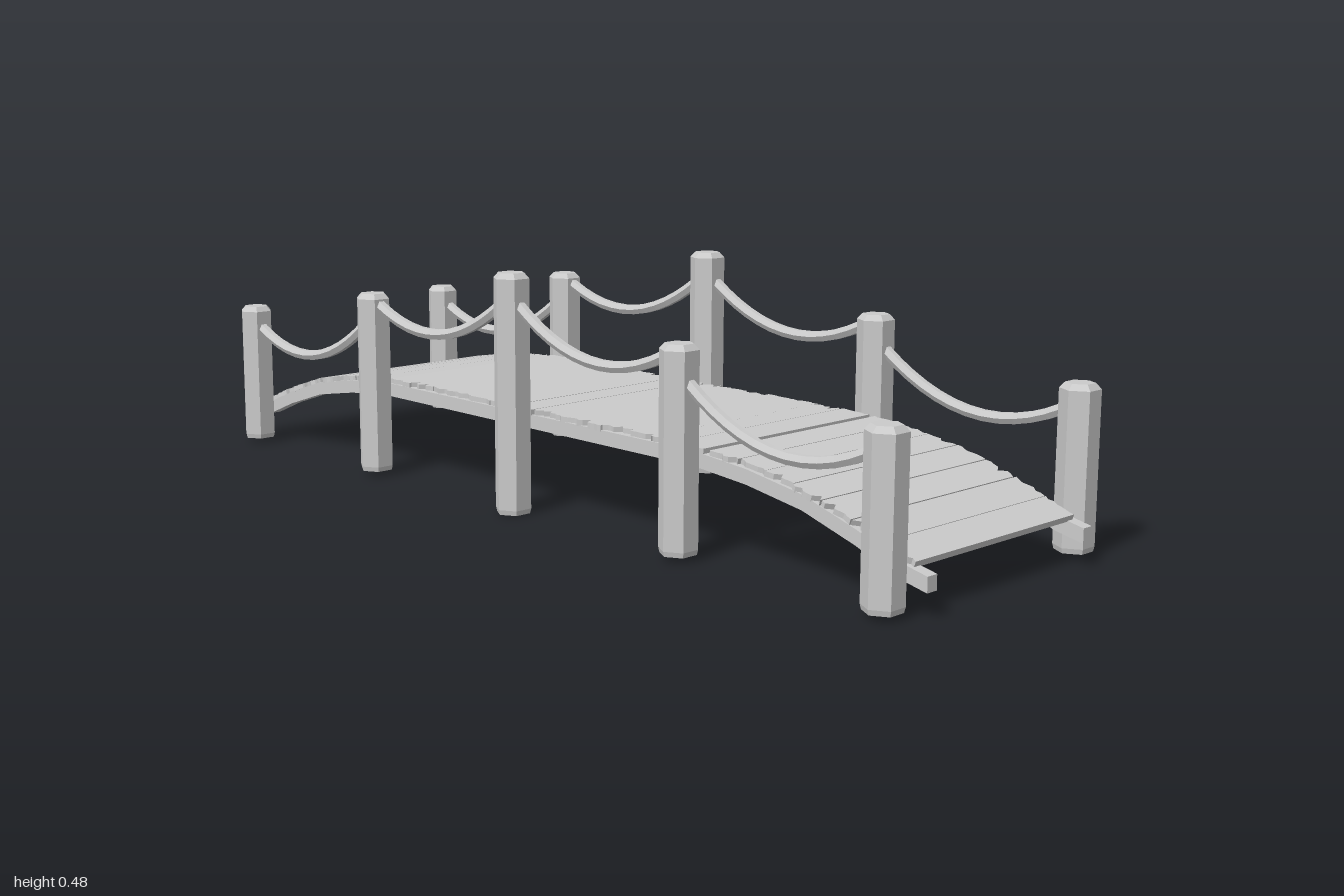
import * as THREE from 'three';

const mat = new THREE.MeshStandardMaterial({ color: 0xcccccc, flatShading: true });

// Arch of the side beams: distance from the middle, beam centre height
const ARCH = [[0, 0.18], [0.47, 0.18], [0.6, 0.168], [0.73, 0.146], [0.85, 0.108], [0.94, 0.072], [1, 0.059]];
const BEAM_H = 0.028, PLANK_T = 0.012;

function archHeight(z) {
  const d = Math.min(Math.abs(z), 1);
  let i = 1;
  while (ARCH[i][0] < d) i++;
  const [d0, y0] = ARCH[i - 1], [d1, y1] = ARCH[i];
  return y0 + (y1 - y0) * (d - d0) / (d1 - d0);
}

let seed = 7;
function rand() {
  seed = (seed * 16807) % 2147483647;
  return seed / 2147483647;
}

function addMesh(parent, geometry, name) {
  const mesh = new THREE.Mesh(geometry, mat);
  mesh.name = name;
  parent.add(mesh);
  return mesh;
}

// Hexagonal post with chamfered ends
function postGeometry(bottom, top) {
  const profile = [[0, bottom], [0.035, bottom], [0.0375, bottom + 0.01],
    [0.0375, top - 0.011], [0.027, top], [0, top]].map(p => new THREE.Vector2(...p));
  return new THREE.LatheGeometry(profile, 6).rotateY(Math.PI / 2);
}

// Sagging rope between two posts
function ropeGeometry(x, a, b, dip) {
  const curve = new THREE.QuadraticBezierCurve3(
    new THREE.Vector3(x, a[1], a[0]),
    new THREE.Vector3(x, dip, (a[0] + b[0]) / 2),
    new THREE.Vector3(x, b[1], b[0]));
  return new THREE.TubeGeometry(curve, 14, 0.012, 6);
}

// Arched beam carrying the planks
function beamGeometry() {
  const zs = [...ARCH.slice(1).map(p => -p[0]).reverse(), ...ARCH.slice(1).map(p => p[0])];
  const lower = zs.map(z => new THREE.Vector2(z, archHeight(z) - BEAM_H / 2));
  const upper = zs.map(z => new THREE.Vector2(z, archHeight(z) + BEAM_H / 2)).reverse();
  const geo = new THREE.ExtrudeGeometry(new THREE.Shape([...lower, ...upper]),
    { depth: 0.025, bevelEnabled: false });
  return geo.translate(0, 0, -0.0125).rotateY(-Math.PI / 2);
}

// Plank with splintered ends
function plankGeometry(width) {
  const steps = 7, right = [], left = [];
  const baseR = 0.223 + rand() * 0.01, baseL = 0.223 + rand() * 0.01;
  const splinter = () => {
    const r = rand();
    return r < 0.15 ? -0.018 * rand() : (r - 0.5) * 0.012;
  };
  for (let i = 0; i <= steps; i++) {
    const v = (i / steps - 0.5) * width;
    right.push(new THREE.Vector2(baseR + splinter(), v));
    left.push(new THREE.Vector2(-baseL - splinter(), v));
  }
  const shape = new THREE.Shape([...right, ...left.reverse()]);
  return new THREE.ExtrudeGeometry(shape, { depth: PLANK_T, bevelEnabled: false }).rotateX(-Math.PI / 2);
}

// Row of planks following the arch between two z positions
function addPlanks(deck, z0, z1, count) {
  const pitch = (z1 - z0) / count;
  for (let i = 0; i < count; i++) {
    const a = z0 + i * pitch, b = a + pitch;
    const ya = archHeight(a), yb = archHeight(b);
    const plank = addMesh(deck, plankGeometry(Math.hypot(pitch, yb - ya) - 0.001), 'plank');
    plank.position.set(0, (ya + yb) / 2 + BEAM_H / 2 - 0.002, (a + b) / 2);
    plank.rotation.x = -Math.atan2(yb - ya, pitch) + (rand() - 0.5) * 0.03;
  }
}

export function createModel() {
  const model = new THREE.Group();
  model.name = 'footbridge';

  // Deck, with one wider gap near the front
  const deck = new THREE.Group();
  deck.name = 'deck';
  model.add(deck);
  addPlanks(deck, -0.998, 0.494, 22);
  addPlanks(deck, 0.506, 0.966, 7);

  // Posts: z, bottom, top
  const posts = [[0.94, 0.01, 0.32], [0.47, 0.01, 0.395], [0.005, 0, 0.48],
    [-0.46, 0.01, 0.395], [-0.93, 0.01, 0.32]];
  // Ropes: start and end as z, height, then the control height of the sag
  const ropes = [
    [[0.94, 0.285], [0.47, 0.345], 0.148],
    [[0.47, 0.385], [0.005, 0.435], 0.252],
    [[-0.46, 0.385], [0.005, 0.435], 0.252],
    [[-0.93, 0.285], [-0.46, 0.345], 0.148],
  ];

  for (const side of [1, -1]) {
    const railing = new THREE.Group();
    railing.name = side > 0 ? 'leftRailing' : 'rightRailing';
    model.add(railing);
    for (const [z, bottom, top] of posts) {
      addMesh(railing, postGeometry(bottom, top), 'post').position.set(side * 0.2725, 0, z);
    }
    for (const [a, b, dip] of ropes) addMesh(railing, ropeGeometry(side * 0.2735, a, b, dip), 'rope');
    addMesh(model, beamGeometry(), side > 0 ? 'leftBeam' : 'rightBeam').position.x = side * 0.2225;
  }
  return model;
}
